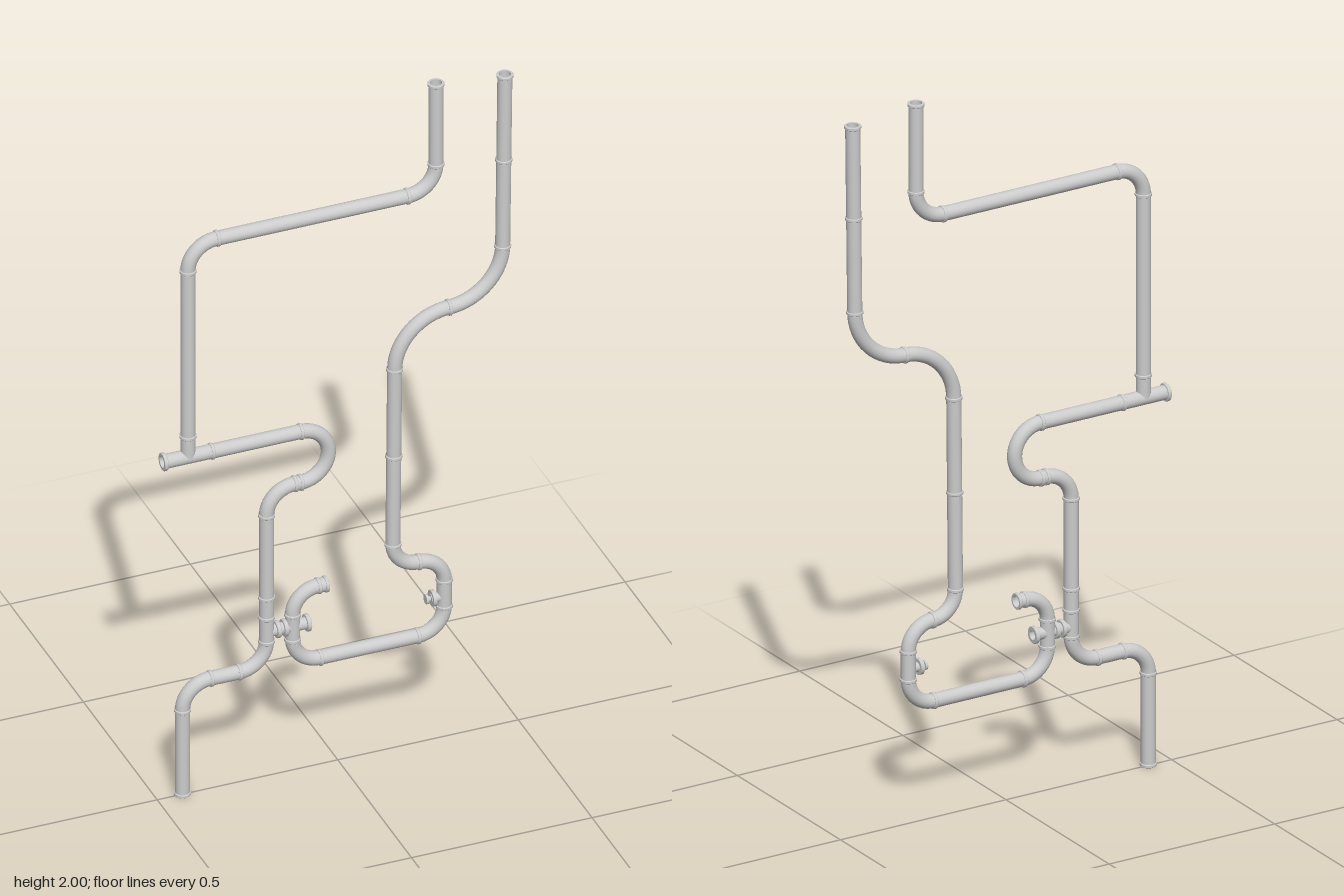
import * as THREE from 'three';

const R = 0.0195, BORE = 0.0155;
const mat = new THREE.MeshStandardMaterial({ color: 0xcccccc, side: THREE.DoubleSide });
const V = (x, y) => new THREE.Vector3(x, y, 0);

export function createModel() {
  const model = new THREE.Group();

  const add = (name, geo, parent = model) => {
    const mesh = new THREE.Mesh(geo, mat);
    mesh.name = name;
    parent.add(mesh);
    return mesh;
  };

  // Hollow collar centred on p, its axis along dir
  const collar = (name, p, dir, parent = model, r = 0.0222, len = 0.009, bore = BORE) => {
    const h = len / 2, c = 0.0015;
    const profile = [[bore, -h], [r - c, -h], [r, -h + c], [r, h - c], [r - c, h], [bore, h], [bore, -h]];
    // split the profile into bands so that edges stay crisp
    const g = new THREE.Group();
    g.name = name;
    for (let i = 0; i < profile.length - 1; i++) {
      add(name + 'Face', new THREE.LatheGeometry(
        [profile[i], profile[i + 1]].map(q => new THREE.Vector2(...q)), 24), g);
    }
    g.position.copy(p);
    g.quaternion.setFromUnitVectors(new THREE.Vector3(0, 1, 0), dir.clone().normalize());
    parent.add(g);
  };

  const straight = (name, a, b, parent = model, r = R) => {
    add(name, new THREE.TubeGeometry(new THREE.LineCurve3(a, b), 1, r, 24), parent);
  };

  // Pipe run along corner points [x, y, bendRadius], with collars at the joints
  const pipe = (name, pts) => {
    const g = new THREE.Group();
    g.name = name;
    model.add(g);
    let from = V(...pts[0]);
    for (let i = 1; i < pts.length; i++) {
      const corner = V(pts[i][0], pts[i][1]), r = pts[i][2] || 0;
      const dIn = corner.clone().sub(V(pts[i - 1][0], pts[i - 1][1])).normalize();
      const a = corner.clone().addScaledVector(dIn, -r);
      if (from.distanceTo(a) > 0.006) {
        straight('straightPipe', from, a, g);
        if (r) collar('jointCollar', a, dIn, g);
      }
      if (!r) continue;
      const next = V(pts[i + 1][0], pts[i + 1][1]);
      const dOut = next.clone().sub(corner).normalize();
      const b = corner.clone().addScaledVector(dOut, r);
      const k = r * 0.4477;
      add('elbow', new THREE.TubeGeometry(new THREE.CubicBezierCurve3(a,
        corner.clone().addScaledVector(dIn, -k), corner.clone().addScaledVector(dOut, k), b), 16, R, 24), g);
      const nextR = pts[i + 1][2] || 0;
      if (next.distanceTo(corner) - r - nextR > 0.006) collar('jointCollar', b, dOut, g);
      from = b;
    }
  };

  const X = V(1, 0), Y = V(0, 1);

  // Left run: lower inlet up to the side tee
  pipe('lowerLeftPipe', [[-0.43, 0], [-0.43, 0.335, 0.077], [-0.197, 0.335, 0.077],
    [-0.197, 0.872, 0.077], [-0.026, 0.872, 0.0775], [-0.026, 1.027, 0.0775], [-0.485, 1.027]]);
  // Branch from the tee to the upper outlet
  pipe('upperLeftPipe', [[-0.415, 1.03], [-0.415, 1.673, 0.08], [0.272, 1.673, 0.08], [0.272, 2]]);
  // Right run: upper outlet down and round to the open hook
  pipe('rightPipe', [[0.463, 1.98], [0.455, 1.31, 0.148], [0.159, 1.302, 0.148], [0.152, 0.55, 0.0715],
    [0.295, 0.55, 0.0715], [0.295, 0.325, 0.075], [-0.125, 0.325, 0.075],
    [-0.125, 0.545, 0.07], [-0.03, 0.545]]);

  // Lips on the open ends
  collar('endLip', V(-0.43, 0.0045), Y);
  collar('endLip', V(0.272, 1.9955), Y);
  collar('endLip', V(0.463, 1.9755), Y);
  collar('endLip', V(-0.034, 0.545), X);
  collar('teeEndFlange', V(-0.482, 1.027), X, model, 0.0245, 0.01);

  // Extra couplings at the tees, S-bends and along the straights
  const couplings = [[-0.35, 1.027, X], [-0.415, 1.09, Y], [-0.197, 0.545, Y], [-0.197, 0.485, Y],
    [0.155, 0.89, Y], [0.46, 1.72, Y], [0.307, 1.306, X], [0.2235, 0.55, X]];
  for (const [x, y, d] of couplings) collar('coupling', V(x, y), d, model, 0.0222, 0.009, R - 0.001);

  // Cross link between the two runs
  const link = new THREE.Group();
  link.name = 'crossLink';
  model.add(link);
  straight('linkPipe', V(-0.197, 0.44), V(-0.082, 0.44), link, 0.0165);
  for (const x of [-0.168, -0.148, -0.085]) collar('linkFlange', V(x, 0.44), X, link, 0.0235, 0.011, 0.013);

  // Small capped valve on the right loop
  const valve = new THREE.Group();
  valve.name = 'valve';
  model.add(valve);
  const disc = (name, x, r, len) => {
    const m = add(name, new THREE.CylinderGeometry(r, r, len, 24), valve);
    m.rotation.z = Math.PI / 2;
    m.position.set(x, 0.43, 0);
  };
  disc('valveNeck', 0.276, 0.013, 0.04);
  disc('valveFlange', 0.263, 0.022, 0.01);
  disc('valveStem', 0.253, 0.007, 0.02);
  disc('valveCap', 0.246, 0.013, 0.007);

  return model;
}
